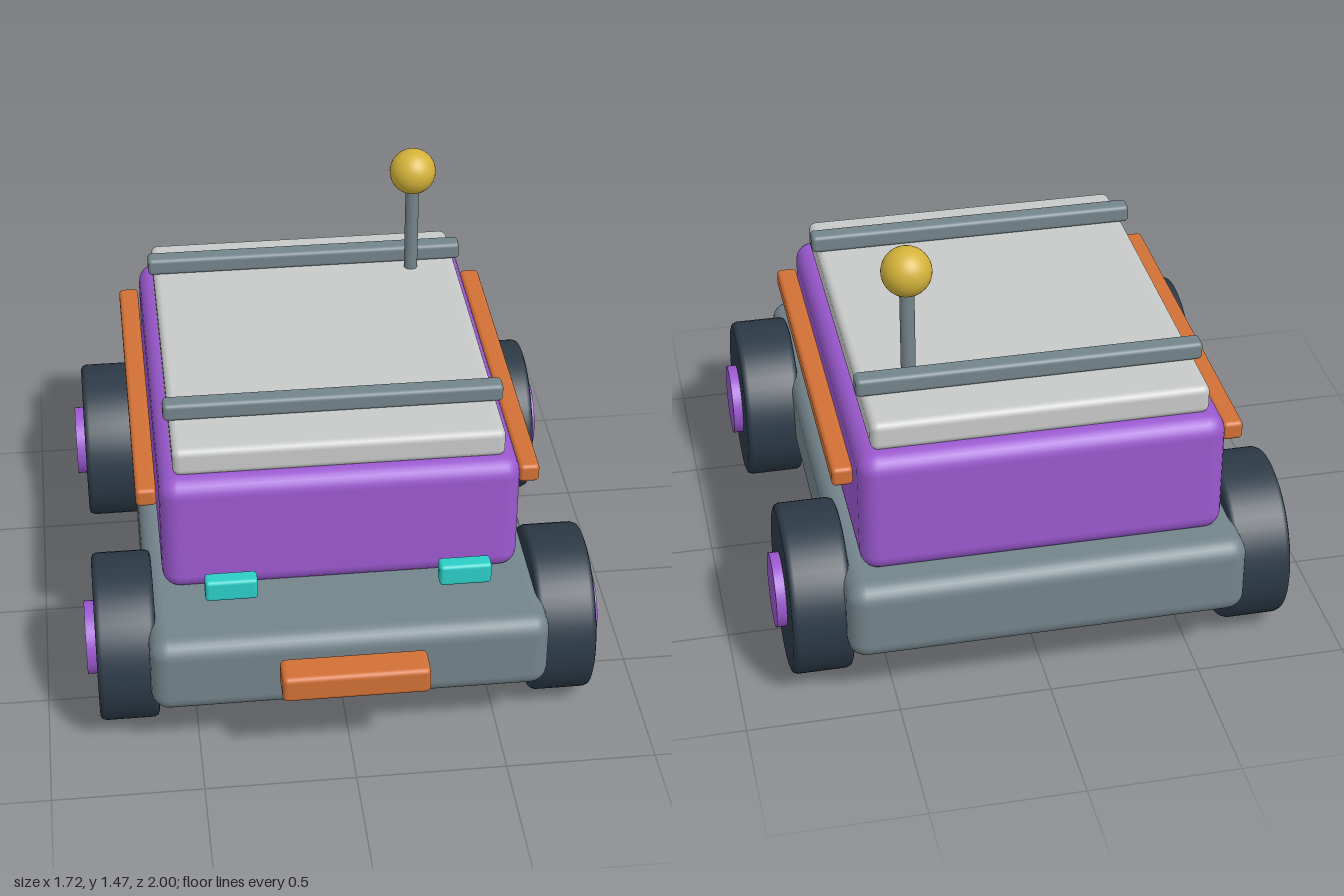
import * as THREE from 'three';
import { RoundedBoxGeometry } from 'three/addons/geometries/RoundedBoxGeometry.js';

const paint = (name, color) => {
  const m = new THREE.MeshStandardMaterial({ color });
  m.name = name;
  return m;
};

export function createModel() {
  const purple = paint('purple', 0x9b59d0);
  const grey = paint('steel grey', 0x74858c);
  const rubber = paint('dark rubber', 0x2c3a47);
  const silver = paint('pale silver', 0xc8cac9);
  const orange = paint('orange', 0xd27036);
  const teal = paint('teal', 0x2ccfc8);
  const gold = paint('gold', 0xd4b33a);

  const car = new THREE.Group();
  car.name = 'toyBuggy';

  const add = (name, geometry, material, x = 0, y = 0, z = 0, parent = car) => {
    const mesh = new THREE.Mesh(geometry, material);
    mesh.name = name;
    mesh.position.set(x, y, z);
    parent.add(mesh);
    return mesh;
  };

  // Rounded box given by its extents on each axis
  const box = (name, material, [x0, x1], [y0, y1], [z0, z1], radius) =>
    add(name, new RoundedBoxGeometry(x1 - x0, y1 - y0, z1 - z0, 3, radius), material,
      (x0 + x1) / 2, (y0 + y1) / 2, (z0 + z1) / 2);

  // Main shells
  box('chassis', grey, [-0.655, 0.655], [0.21, 0.487], [-1, 0.865], 0.06);
  box('cabin', purple, [-0.593, 0.593], [0.475, 0.905], [-0.897, 0.56], 0.06);
  box('roof', silver, [-0.545, 0.545], [0.9, 1], [-0.838, 0.505], 0.025);
  box('frontBumper', orange, [-0.24, 0.24], [0.34, 0.435], [0.885, 1], 0.018);

  // Roof rails
  for (const z of [0.297, -0.642])
    box('roofRail', grey, [-0.563, 0.563], [1, 1.062], [z - 0.033, z + 0.033], 0.015);

  // Antenna
  add('antennaRod', new THREE.CylinderGeometry(0.024, 0.024, 0.36, 20), grey, 0.38, 1.16, -0.58);
  add('antennaBall', new THREE.SphereGeometry(0.081, 32, 20), gold, 0.38, 1.386, -0.58);

  // Tyre profile: radius against position across the width, with softened shoulders
  const tyreProfile = [
    [0, -0.099], [0.262, -0.099], [0.262, -0.099], [0.275, -0.094], [0.281, -0.08],
    [0.281, -0.08], [0.281, 0.08], [0.281, 0.08], [0.275, 0.094], [0.262, 0.099],
    [0.262, 0.099], [0, 0.099],
  ].filter((p, i, a) => i === 0 || p[0] !== a[i - 1][0] || p[1] !== a[i - 1][1])
    .map(([r, y]) => new THREE.Vector2(r, y));
  const tyre = new THREE.LatheGeometry(tyreProfile, 48);
  const hub = new THREE.CylinderGeometry(0.123, 0.123, 0.06, 40);

  for (const side of [-1, 1]) {
    const span = (a, b) => (side > 0 ? [a, b] : [-b, -a]);
    box('sideTrim', orange, span(0.6, 0.668), [0.77, 0.835], [-0.812, 0.475], 0.015);
    box('headlight', teal, span(0.295, 0.465), [0.59, 0.667], [0.711, 0.77], 0.013);

    // Wheels, axle along x with the hub facing outwards
    for (const z of [0.52, -0.652]) {
      const wheel = new THREE.Group();
      wheel.name = z > 0 ? 'frontWheel' : 'rearWheel';
      wheel.position.set(side * 0.727, 0.281, z);
      wheel.rotation.z = -side * Math.PI / 2;
      add('tyre', tyre, rubber, 0, 0, 0, wheel);
      add('hubcap', hub, purple, 0, 0.102, 0, wheel);
      car.add(wheel);
    }
  }
  return car;
}
